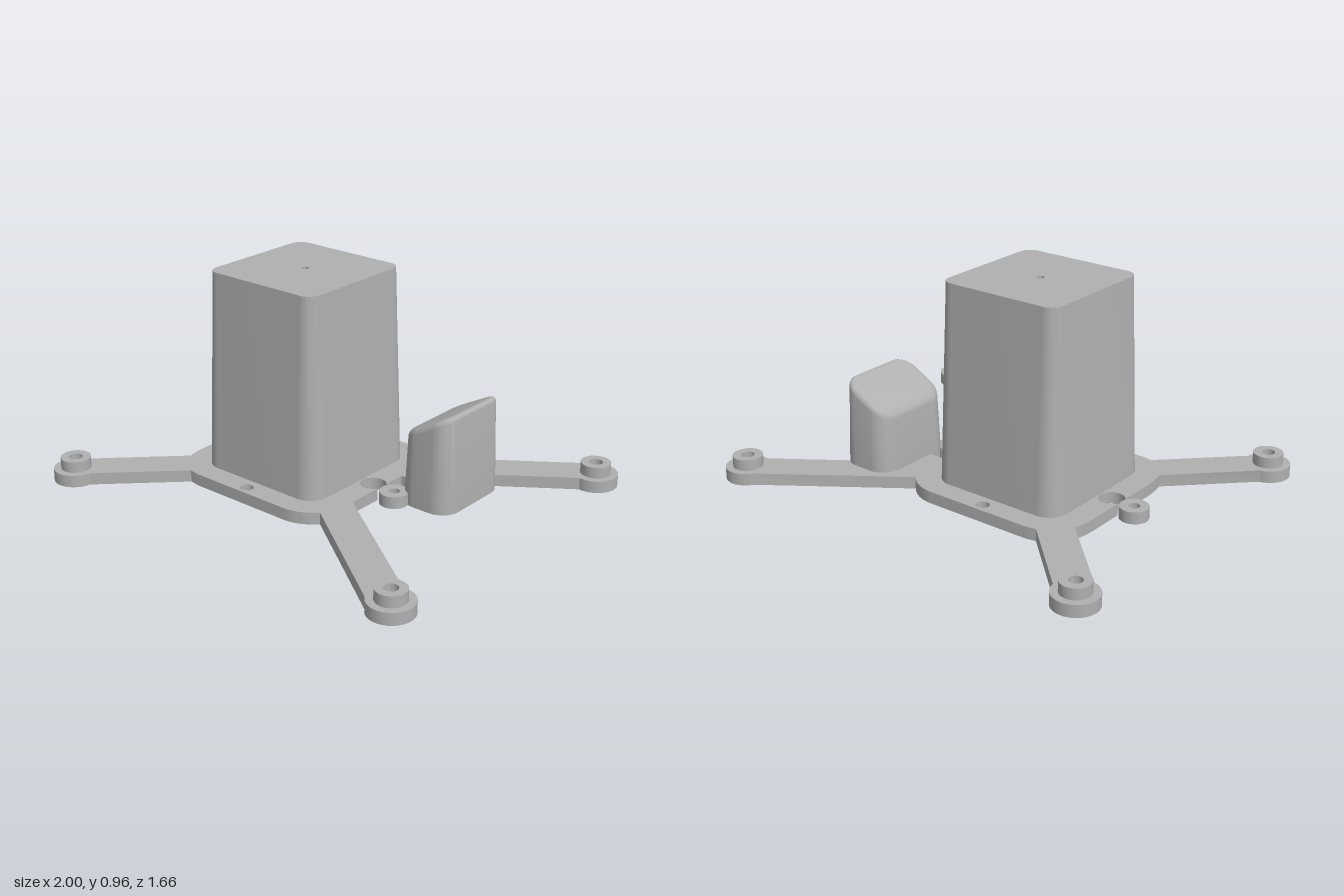
import * as THREE from 'three';
import { toCreasedNormals } from 'three/addons/utils/BufferGeometryUtils.js';

const grey = new THREE.MeshStandardMaterial({ color: 0xb0b0b0 });
grey.name = 'plainGrey';
const THICK = 0.055;
const rad = THREE.MathUtils.degToRad;

// Shapes are drawn in plan: shape x = x, shape y = towards the back (-z)
function disc(x, y, r, Type = THREE.Shape) {
  const s = new Type();
  s.absarc(x, y, r, 0, Math.PI * 2, false);
  return s;
}

function roundedRect(cx, cy, w, d, r) {
  const s = new THREE.Shape();
  const a = w / 2 - r, b = d / 2 - r;
  s.absarc(cx + a, cy + b, r, 0, Math.PI / 2);
  s.absarc(cx - a, cy + b, r, Math.PI / 2, Math.PI);
  s.absarc(cx - a, cy - b, r, Math.PI, Math.PI * 1.5);
  s.absarc(cx + a, cy - b, r, Math.PI * 1.5, Math.PI * 2);
  s.closePath();
  return s;
}

// Extrude upwards; an optional rule moves the vertices first
function raise(shape, y0, depth, steps = 1, rule = null) {
  const geo = new THREE.ExtrudeGeometry(shape, { depth, steps, bevelEnabled: false, curveSegments: 16 });
  if (rule) {
    const p = geo.attributes.position, v = new THREE.Vector3();
    for (let i = 0; i < p.count; i++) {
      rule(v.fromBufferAttribute(p, i));
      p.setXYZ(i, v.x, v.y, v.z);
    }
  }
  geo.rotateX(-Math.PI / 2);
  geo.translate(0, y0, 0);
  return toCreasedNormals(geo, 0.6);
}

// Pull a rounded-rectangle outline inwards, shrinking its corner radius
function inset(v, cx, cy, w, d, r, amount) {
  const a = w / 2 - r, b = d / 2 - r;
  const qx = THREE.MathUtils.clamp(v.x, cx - a, cx + a);
  const qy = THREE.MathUtils.clamp(v.y, cy - b, cy + b);
  const k = 1 - amount / r;
  v.x = qx + (v.x - qx) * k;
  v.y = qy + (v.y - qy) * k;
}

// Plate with four arms: the back half outline, mirrored to the front
function plateShape() {
  const h = new THREE.Shape();
  h.absarc(0.222, 0, 0.057, Math.PI, rad(33), true);
  h.lineTo(0.27, 0.2);
  h.absarc(0.9, 0.73, 0.1, rad(-101), rad(150), false);
  h.lineTo(0.23, 0.365);
  h.quadraticCurveTo(0.165, 0.433, 0.08, 0.433);
  h.lineTo(-0.43, 0.433);
  h.lineTo(-0.48, 0.425);
  h.absarc(-0.9, 0.73, 0.1, rad(5), rad(261), false);
  h.lineTo(-0.595, 0.315);
  h.quadraticCurveTo(-0.61, 0.26, -0.61, 0.2);
  h.absarc(-0.56, 0, 0.057, rad(151.5), 0, true);
  const back = h.getPoints(20);
  const front = back.slice(1, -1).reverse().map(p => new THREE.Vector2(p.x, -p.y));
  const s = new THREE.Shape([...back, ...front]);
  s.holes.push(disc(-0.17, 0, 0.018, THREE.Path));
  for (const sy of [-1, 1]) {
    s.holes.push(disc(-0.17, sy * 0.39, 0.03, THREE.Path));
    for (const x of [-0.9, 0.9]) s.holes.push(disc(x, sy * 0.73, 0.03, THREE.Path));
  }
  return s;
}

export function createModel() {
  const group = new THREE.Group();
  const add = (name, geo) => {
    const m = new THREE.Mesh(geo, grey);
    m.name = name;
    group.add(m);
  };
  const ring = (x, y, r, hole) => {
    const s = disc(x, y, r);
    s.holes.push(disc(x, y, hole, THREE.Path));
    return s;
  };

  add('basePlate', raise(plateShape(), 0, THICK));

  // Web joining the plate to the side block
  const web = new THREE.Shape([[0.2, 0.14], [0.4, 0.14], [0.4, 0.29], [0.27, 0.2], [0.2, 0.2]]
    .map(p => new THREE.Vector2(...p)));
  add('blockWeb', raise(web, 0, THICK));

  // Raised bosses on the arm ends
  for (const x of [-0.9, 0.9]) for (const y of [-0.73, 0.73])
    add('armBoss', raise(ring(x, y, 0.067, 0.03), THICK, 0.05));

  // Small side eyelets
  for (const x of [-0.674, 0.337]) add('sideEyelet', raise(ring(x, 0, 0.065, 0.025), 0, THICK));

  // Tapered tower with a narrow centre bore
  const T = [-0.17, 0, 0.655, 0.66, 0.09], H = 0.96 - THICK;
  const tower = roundedRect(...T);
  tower.holes.push(disc(-0.17, 0, 0.018, THREE.Path));
  add('tower', raise(tower, THICK, H, 1, v => inset(v, ...T, 0.032 * v.z / H)));

  // Side block with a sloping, softly rounded top
  const B = [0.472, 0.227, 0.266, 0.425, 0.09], F = 0.03, N = 6;
  add('sideBlock', raise(roundedRect(...B), 0, 1, N + 2, v => {
    const layer = Math.round(v.z * (N + 2));
    if (layer === 0) { v.z = 0; return; }
    if (layer === 1) { v.z = THICK; return; }
    const a = (layer - 2) / N * Math.PI / 2;
    inset(v, ...B, 0.011 + F * (1 - Math.cos(a)));
    v.z = 0.325 + (v.x - 0.35) * 0.53 - F * (1 - Math.sin(a));
  }));

  return group;
}
